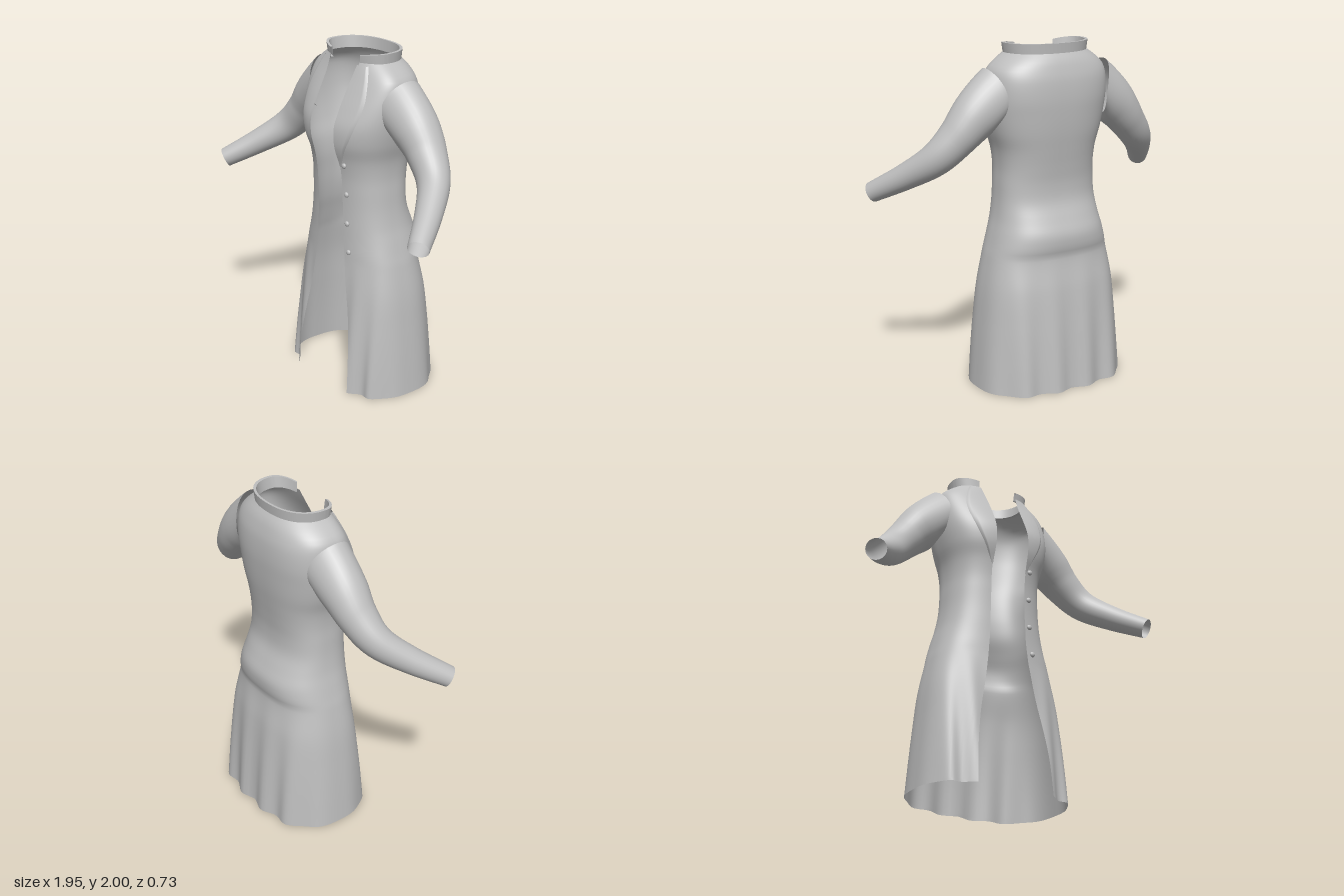
import * as THREE from 'three';
import { mergeVertices, toCreasedNormals } from 'three/addons/utils/BufferGeometryUtils.js';

const cloth = new THREE.MeshStandardMaterial({ color: 0xbfbfbf, side: THREE.DoubleSide });
cloth.name = 'grey cloth';

// Coat sections: y, half width, front z, back z, half gap, squareness
const SECTIONS = [
  [0, 0.465, 0.275, -0.352, 0.242, 2.7],
  [0.2, 0.45, 0.262, -0.34, 0.232, 2.7],
  [0.4, 0.432, 0.245, -0.325, 0.205, 2.7],
  [0.6, 0.41, 0.225, -0.305, 0.165, 2.7],
  [0.79, 0.375, 0.208, -0.276, 0.135, 2.6],
  [0.84, 0.362, 0.206, -0.288, 0.13, 2.6],
  [0.92, 0.342, 0.205, -0.29, 0.122, 2.5],
  [1.0, 0.322, 0.205, -0.26, 0.12, 2.5],
  [1.1, 0.307, 0.205, -0.222, 0.116, 2.5],
  [1.2, 0.3, 0.208, -0.215, 0.115, 2.5],
  [1.3, 0.296, 0.214, -0.225, 0.115, 2.5],
  [1.4, 0.306, 0.23, -0.24, 0.115, 2.5],
  [1.5, 0.335, 0.254, -0.255, 0.115, 2.5],
  [1.6, 0.356, 0.252, -0.265, 0.115, 2.5],
  [1.7, 0.366, 0.212, -0.27, 0.116, 2.6],
  [1.8, 0.365, 0.162, -0.264, 0.118, 2.6],
  [1.86, 0.35, 0.132, -0.25, 0.121, 2.5],
  [1.91, 0.3, 0.112, -0.232, 0.127, 2.4],
  [1.945, 0.25, 0.102, -0.208, 0.132, 2.3],
];

// Smooth lookup in a table whose first column is the key
function lookup(table, key) {
  let i = 0;
  while (i < table.length - 2 && key > table[i + 1][0]) i++;
  const a = table[i], b = table[i + 1];
  const p = table[Math.max(i - 1, 0)], q = table[Math.min(i + 2, table.length - 1)];
  const h = b[0] - a[0], t = (key - a[0]) / h;
  return a.map((v, k) => {
    const m0 = (b[k] - p[k]) / (b[0] - p[0]) * h, m1 = (q[k] - v) / (q[0] - a[0]) * h;
    return v + t * m0 + t * t * (3 * (b[k] - v) - 2 * m0 - m1) + t * t * t * (2 * (v - b[k]) + m0 + m1);
  });
}

// Point on the coat: u runs from one front edge round the back to the other
function coatPoint(u, y) {
  const [, w, zf, zb, gap, n] = lookup(SECTIONS, y);
  const start = Math.asin(Math.pow(gap / w, n / 2));
  const t = start + u * (2 * Math.PI - 2 * start);
  const s = Math.sin(t), c = Math.cos(t), zc = -0.02;
  const x = w * Math.sign(s) * Math.pow(Math.abs(s), 2 / n);
  let z = zc + (c > 0 ? zf - zc : zb - zc) * Math.pow(Math.abs(c), 2 / n);
  // soft folds growing towards the hem
  const fold = 0.016 * Math.max(0, 1 - y / 0.8) * Math.min(1, Math.abs(c) * 1.5);
  z += c > 0 ? fold * Math.cos(2 * Math.PI * (Math.abs(x) - 0.24) / 0.14)
    : -fold * Math.cos(2 * Math.PI * (Math.abs(x) - 0.1) / 0.2);
  return [x, y, z];
}

// Height of the front panel at x, y
function frontZ(x, y) {
  const [, w, zf, , , n] = lookup(SECTIONS, y);
  return -0.02 + (zf + 0.02) * Math.pow(Math.max(0, 1 - Math.pow(Math.abs(x) / w, n)), 1 / n);
}

// Surface from a point function over a grid
function surface(nu, nv, point) {
  const pos = [], index = [];
  for (let j = 0; j <= nv; j++)
    for (let i = 0; i <= nu; i++) pos.push(...point(i / nu, j / nv));
  for (let j = 0; j < nv; j++)
    for (let i = 0; i < nu; i++) {
      const a = j * (nu + 1) + i, b = a + nu + 1;
      index.push(a, b, a + 1, a + 1, b, b + 1);
    }
  let geo = new THREE.BufferGeometry();
  geo.setAttribute('position', new THREE.Float32BufferAttribute(pos, 3));
  geo.setIndex(index);
  geo = mergeVertices(geo, 1e-5);
  geo.computeVertexNormals();
  return geo;
}

// Sleeve keys: t, centre x y z, radius across, radius in depth
const SLEEVE = [
  [0, 0.378, 1.71, -0.045, 0.162, 0.145],
  [0.2, 0.465, 1.615, -0.045, 0.14, 0.132],
  [0.38, 0.56, 1.505, -0.035, 0.113, 0.112],
  [0.6, 0.678, 1.38, 0.015, 0.095, 0.09],
  [0.8, 0.8, 1.27, 0.152, 0.075, 0.075],
  [1, 0.925, 1.162, 0.325, 0.058, 0.06],
];

function sleevePoint(side, u, v) {
  const at = (t) => new THREE.Vector3(...lookup(SLEEVE, t).slice(1, 4));
  const [, , , , across, depth] = lookup(SLEEVE, v);
  const along = at(Math.min(1, v + 0.02)).sub(at(Math.max(0, v - 0.02))).normalize();
  const tangent = new THREE.Vector3(1, -0.1, 0).lerp(along, Math.min(1, v * 3)).normalize();
  const deep = new THREE.Vector3(0, 0, 1).addScaledVector(tangent, -tangent.z).normalize();
  const up = new THREE.Vector3().crossVectors(deep, tangent).normalize();
  const a = (u % 1) * Math.PI * 2;
  const p = at(v).addScaledVector(up, across * Math.cos(a)).addScaledVector(deep, depth * Math.sin(a));
  // the armhole edge wraps onto the body at front and back
  p.x -= 0.05 * Math.sin(a) ** 2 * Math.max(0, 1 - v * 4);
  return [p.x * side, p.y, p.z];
}

// Lapel outer edge: y, x
const LAPEL = [[1.36, 0.117], [1.45, 0.16], [1.55, 0.212], [1.65, 0.246], [1.75, 0.257], [1.85, 0.232], [1.93, 0.195]];

function lapelPoint(side, u, v) {
  const y = 1.36 + 0.57 * v;
  const inner = lookup(SECTIONS, y)[4] - 0.002, outer = lookup(LAPEL, y)[1];
  const x = inner + (outer - inner) * u;
  const lift = 0.009 * Math.min(1, v * 8) * (u === 1 ? 0 : 1);
  return [side * x, y, frontZ(x, y) + lift];
}

// Standing collar: a thin closed band following the neckline
function collarPoint(u, v) {
  const [bx, , bz] = coatPoint(u, 1.945);
  const front = Math.pow(Math.abs(2 * u - 1), 6);
  const corner = Math.round(v * 4) % 4;
  const inside = corner > 1, top = corner === 1 || corner === 2;
  const k = (top ? 1.035 : 1.0) - (inside ? 0.075 : 0);
  const y = top ? 2 - 0.018 * front : 1.935 - 0.01 * front;
  return [bx * k, y, -0.03 + (bz + 0.03) * k];
}

export function createModel() {
  const coat = new THREE.Group();
  coat.name = 'longCoat';
  const add = (name, geo) => {
    const mesh = new THREE.Mesh(geo, cloth);
    mesh.name = name;
    coat.add(mesh);
    return mesh;
  };

  add('coatBody', surface(112, 90, (u, v) => coatPoint(u, 1.945 * v)));
  add('collar', toCreasedNormals(surface(64, 4, collarPoint), 0.7));

  for (const side of [1, -1]) {
    const label = side > 0 ? 'left' : 'right';
    add(label + 'Sleeve', surface(32, 36, (u, v) => sleevePoint(side, u, v)));
    add(label + 'Lapel', surface(12, 30, (u, v) => lapelPoint(side, u, v)));
  }

  // Buttons down the left front edge
  const buttonGeo = new THREE.SphereGeometry(0.016, 16, 10);
  [[0.147, 1.375], [0.147, 1.2], [0.15, 1.025], [0.167, 0.855]].forEach(([x, y], i) => {
    const button = add('button' + (i + 1), buttonGeo);
    button.position.set(x, y, frontZ(x, y) + 0.004);
    button.scale.z = 0.7;
  });

  return coat;
}
